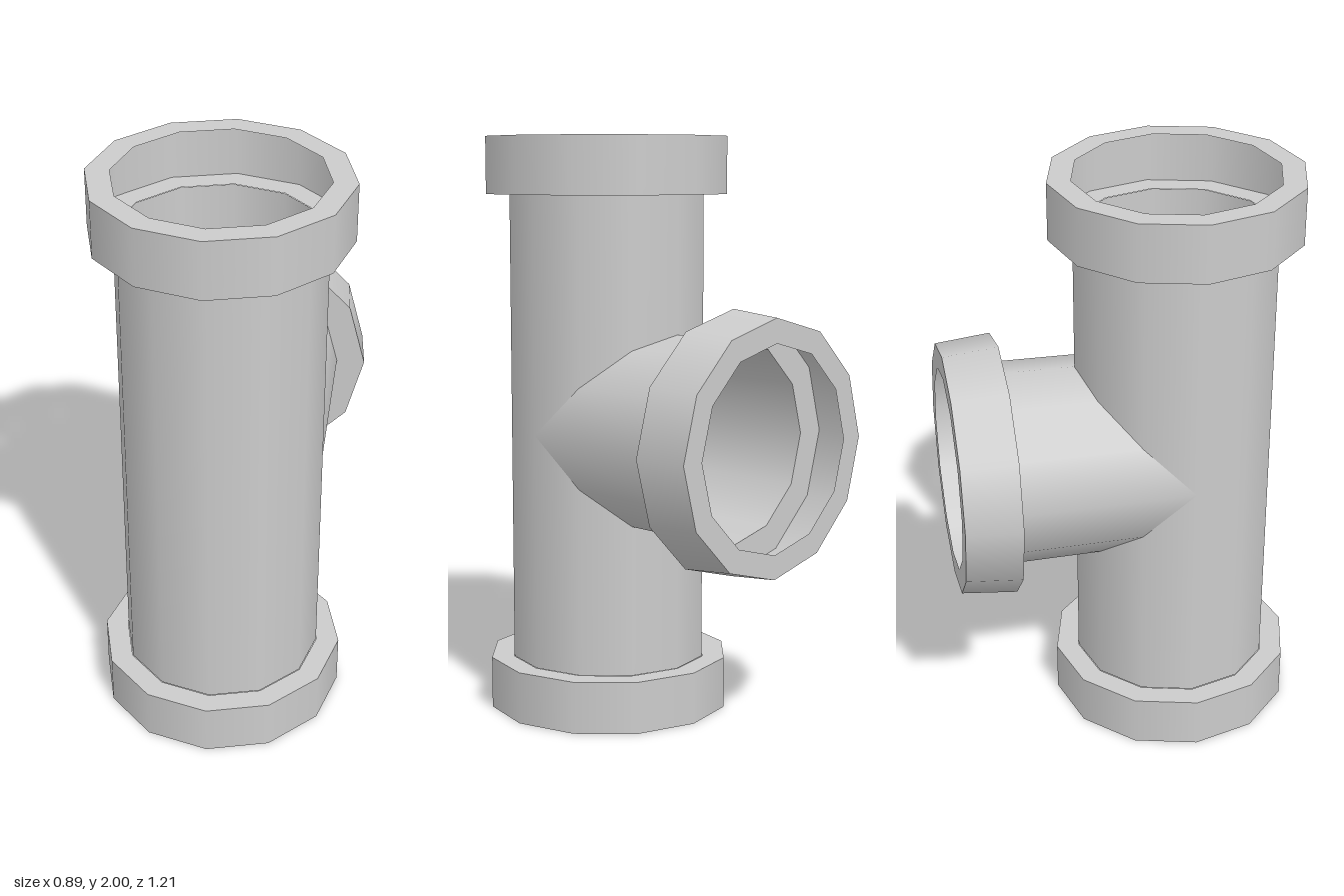
import * as THREE from 'three';

const SIDES = 12;
const R = 0.343;        // pipe radius
const RIM = 0.345;      // collar opening radius
const AXIS_Z = 0.178;   // main pipe axis
const MID_Y = 0.995;    // branch axis height

const material = new THREE.MeshStandardMaterial({ color: 0xcccccc, side: THREE.DoubleSide });

function mesh(name, geometry) {
  const m = new THREE.Mesh(geometry, material);
  m.name = name;
  return m;
}

// Open tube from y0 to y1
function tube(r0, r1, y0, y1) {
  return new THREE.CylinderGeometry(r1, r0, y1 - y0, SIDES, 1, true).translate(0, (y0 + y1) / 2, 0);
}

// Reshape one end of a tube: every vertex at height y gets a new height
function mitre(geometry, y, rule) {
  const p = geometry.attributes.position;
  for (let i = 0; i < p.count; i++) {
    if (Math.abs(p.getY(i) - y) < 1e-4) p.setY(i, rule(p.getX(i), p.getZ(i)));
  }
  return geometry;
}

// Hollow collar: outer wall closed by a ring at each end
function collar(name, r0, r1, y0, y1) {
  const g = new THREE.Group();
  g.name = name;
  g.add(mesh(name + 'Wall', tube(r0, r1, y0, y1)));
  const ring = (r, y, facing) =>
    new THREE.RingGeometry(RIM, r, SIDES).rotateX(-facing * Math.PI / 2).translate(0, y, 0);
  g.add(mesh(name + 'LowerRing', ring(r0, y0, -1)));
  g.add(mesh(name + 'UpperRing', ring(r1, y1, 1)));
  return g;
}

export function createModel() {
  const model = new THREE.Group();
  model.name = 'pipeTee';

  // Main pipe in two halves, cut away at the back where the branch joins
  const run = new THREE.Group();
  run.name = 'mainPipe';
  run.position.z = AXIS_Z;
  const cut = (z) => Math.max(0, -z);
  run.add(mesh('lowerPipe', mitre(tube(R, R, 0.18, MID_Y), MID_Y, (x, z) => MID_Y - cut(z))));
  run.add(mesh('upperPipe', mitre(tube(R, R, MID_Y, 1.805), MID_Y, (x, z) => MID_Y + cut(z))));
  run.add(collar('bottomCollar', 0.424, 0.424, 0, 0.18));
  run.add(collar('topCollar', 0.424, 0.424, 1.805, 2));
  model.add(run);

  // Branch pointing backwards, its inner end mitred to the main pipe
  const branch = new THREE.Group();
  branch.name = 'branch';
  branch.position.set(0, MID_Y, AXIS_Z);
  branch.rotation.x = -Math.PI / 2;
  branch.add(mesh('branchPipe', mitre(tube(R, 0.346, 0, 0.595), 0, (x, z) => Math.abs(z))));
  branch.add(collar('branchCollar', 0.445, 0.427, 0.595, 0.783));
  model.add(branch);

  return model;
}
